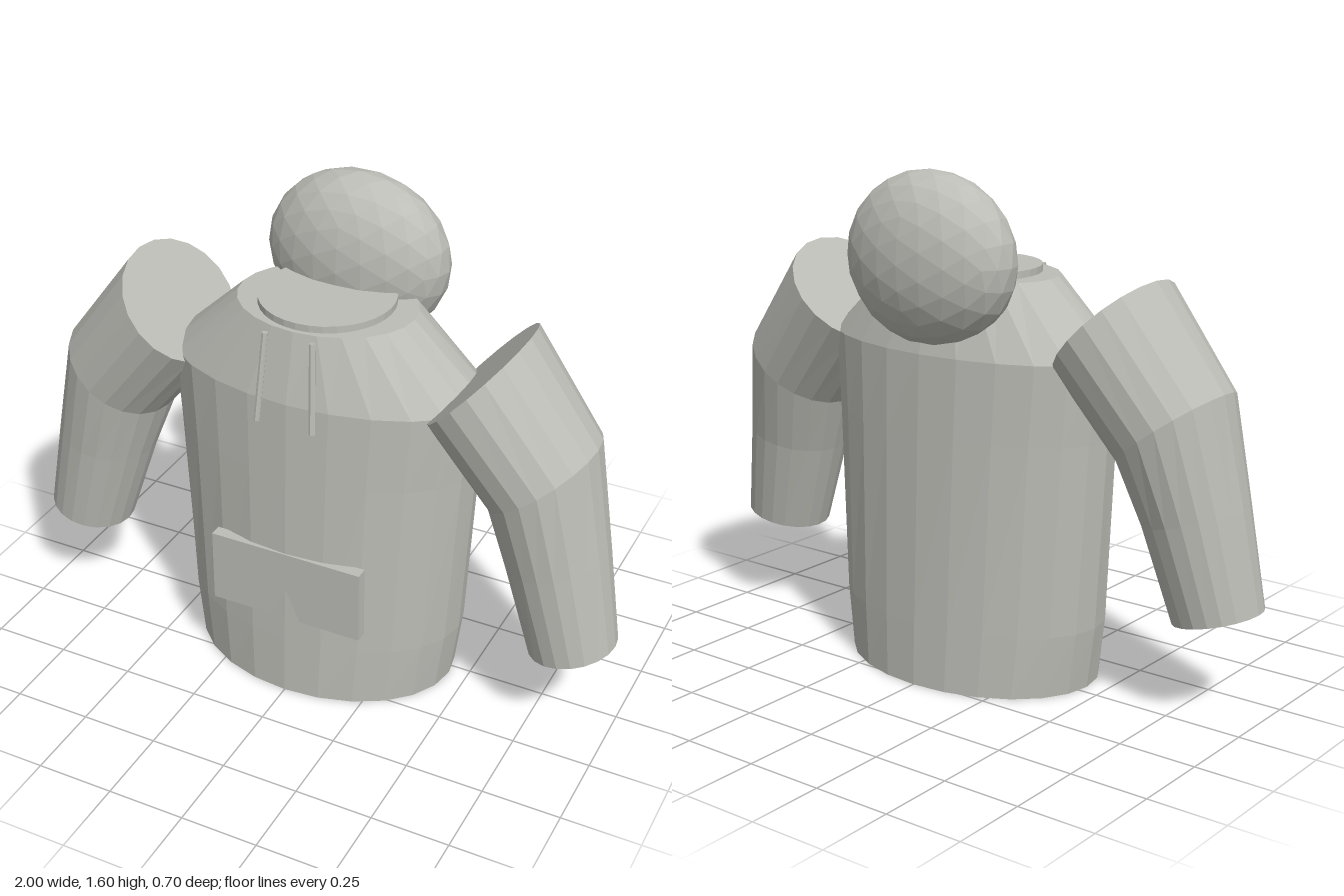
import * as THREE from 'three';

// Closed skin through rings; each ring is a function angle -> [x, y, z], turning outward-facing.
function loft(rings, sides) {
  const pos = [], idx = [];
  const centres = [];
  for (const ring of rings) {
    const c = [0, 0, 0];
    for (let i = 0; i < sides; i++) {
      const p = ring((i / sides) * Math.PI * 2);
      pos.push(...p);
      p.forEach((v, k) => { c[k] += v / sides; });
    }
    centres.push(c);
  }
  for (let r = 0; r < rings.length - 1; r++) {
    for (let i = 0; i < sides; i++) {
      const j = (i + 1) % sides, a = r * sides + i, b = r * sides + j;
      idx.push(a, a + sides, b, b, a + sides, b + sides);
    }
  }
  // End caps
  const last = (rings.length - 1) * sides, c0 = pos.length / 3;
  pos.push(...centres[0], ...centres[centres.length - 1]);
  for (let i = 0; i < sides; i++) {
    const j = (i + 1) % sides;
    idx.push(c0, i, j, c0 + 1, last + j, last + i);
  }
  const g = new THREE.BufferGeometry();
  g.setAttribute('position', new THREE.Float32BufferAttribute(pos, 3));
  g.setIndex(idx);
  const flat = g.toNonIndexed();
  flat.computeVertexNormals();
  return flat;
}

export function createModel() {
  const group = new THREE.Group();
  const fabric = new THREE.MeshStandardMaterial({ color: 0xbdbdb7, flatShading: true });
  fabric.name = 'grey fabric';

  const add = (name, geometry) => {
    const mesh = new THREE.Mesh(geometry, fabric);
    mesh.name = name;
    group.add(mesh);
    return mesh;
  };

  // Torso: elliptical rings [y, half width, half depth]
  const midZ = 0.035;
  const torso = [
    [0, 0.44, 0.315], [0.2, 0.467, 0.308], [0.8, 0.5, 0.286],
    [1.05, 0.52, 0.276], [1.27, 0.285, 0.225],
  ];
  add('torso', loft(torso.map(([y, rx, rz]) => (t) =>
    [rx * Math.cos(t), y, midZ + rz * Math.sin(t)]), 24));

  // Collar disc
  add('collar', new THREE.CylinderGeometry(0.21, 0.21, 0.04, 32)).position.set(0, 1.272, midZ);

  // Hood: squashed ball behind the neck
  const hood = add('hood', new THREE.IcosahedronGeometry(1, 3));
  hood.scale.set(0.3, 0.267, 0.167);
  hood.position.set(0, 1.333, -0.18);

  // Sleeves: [inner x, inner y, outer x, outer y, centre z, half depth], cuff to shoulder
  const sleeve = [
    [0.73, 0.285, 1.0, 0.35, 0.092, 0.142],
    [0.635, 0.58, 0.945, 0.66, 0.075, 0.175],
    [0.57, 0.76, 0.88, 1.0, 0.055, 0.215],
    [0.37, 1.0, 0.65, 1.305, 0.045, 0.245],
  ];
  for (const side of [1, -1]) {
    const label = side > 0 ? 'left' : 'right';
    // Mirrored side runs its rings the other way round so faces stay outward
    add(label + 'Sleeve', loft(sleeve.map(([xi, yi, xo, yo, z, rz]) => (t) => {
      const k = 0.5 + 0.5 * Math.cos(t);
      return [side * (xi + (xo - xi) * k), yi + (yo - yi) * k, z + side * rz * Math.sin(t)];
    }), 20));

    // Drawstrings
    const top = new THREE.Vector3(side * 0.077, 1.265, 0.288);
    const end = new THREE.Vector3(side * 0.092, 0.982, 0.324);
    const dir = top.clone().sub(end);
    const cord = add(label + 'Drawstring', new THREE.CylinderGeometry(0.01, 0.01, dir.length(), 8));
    cord.position.copy(top).add(end).multiplyScalar(0.5);
    cord.quaternion.setFromUnitVectors(new THREE.Vector3(0, 1, 0), dir.normalize());
  }

  // Front pocket
  add('pocket', new THREE.BoxGeometry(0.51, 0.245, 0.04)).position.set(0, 0.403, 0.316);

  return group;
}
